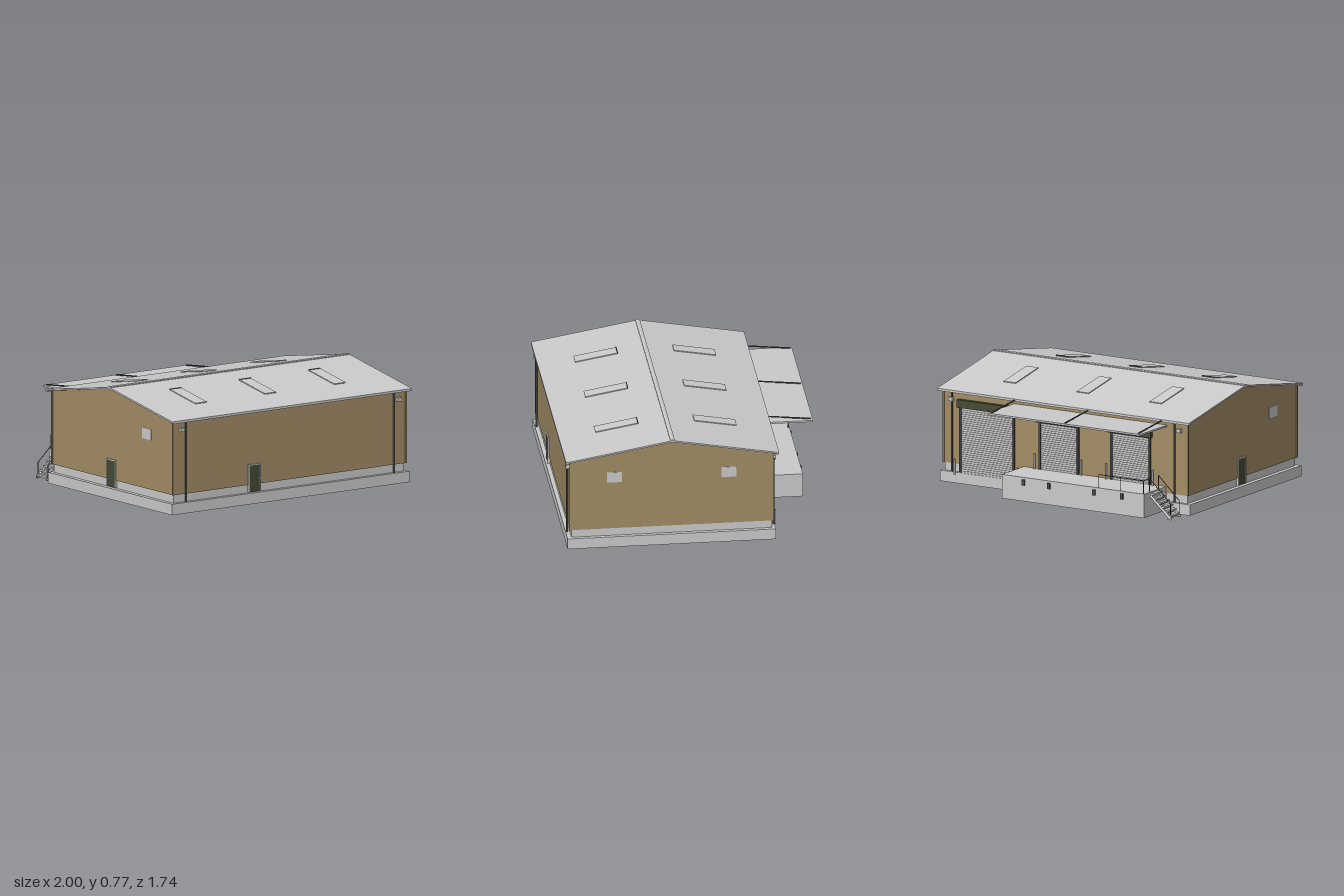
import * as THREE from 'three';

const mat = (color, extra = {}) => new THREE.MeshStandardMaterial({ color, ...extra });
const grey = mat(0xcccccc), tan = mat(0xa38d66), dark = mat(0x4a4a48), green = mat(0x454a34);

export function createModel() {
  const root = new THREE.Group();

  const add = (name, geo, material, parent = root) => {
    const mesh = new THREE.Mesh(geo, material);
    mesh.name = name;
    parent.add(mesh);
    return mesh;
  };
  // Box given by its limits on each axis
  const box = (name, x0, x1, y0, y1, z0, z1, material = grey, parent = root) => {
    const m = add(name, new THREE.BoxGeometry(x1 - x0, y1 - y0, z1 - z0), material, parent);
    m.position.set((x0 + x1) / 2, (y0 + y1) / 2, (z0 + z1) / 2);
    return m;
  };
  // Straight round bar between two points
  const bar = (name, a, b, r, material = dark, parent = root) => {
    const p = new THREE.Vector3(...a), q = new THREE.Vector3(...b);
    const m = add(name, new THREE.CylinderGeometry(r, r, p.distanceTo(q), 8), material, parent);
    m.position.copy(p).add(q).multiplyScalar(0.5);
    m.quaternion.setFromUnitVectors(new THREE.Vector3(0, 1, 0), q.sub(p).normalize());
    return m;
  };
  // Outline in (z, y), extruded along x between two limits
  const prism = (name, pts, x0, x1, material) => {
    const shape = new THREE.Shape(pts.map(p => new THREE.Vector2(...p)));
    const geo = new THREE.ExtrudeGeometry(shape, { depth: x1 - x0, bevelEnabled: false });
    geo.rotateY(-Math.PI / 2).translate(x1, 0, 0);
    return add(name, geo, material);
  };

  // Foundation, plinth and walls
  const ridgeZ = 0.15, back = -0.535;
  box('foundation', -0.995, 0.99, 0, 0.075, -0.55, 0.86);
  box('plinth', -0.963, 0.963, 0.075, 0.13, -0.528, 0.832);
  prism('walls', [[back, 0.13], [0.84, 0.13], [0.84, 0.632], [ridgeZ, 0.755], [back, 0.632]], -0.97, 0.97, tan);
  for (const x of [-0.97, 0.97]) for (const z of [back, 0.84])
    box('cornerTrim', x - 0.006, x + 0.006, 0.13, 0.635, z - 0.006, z + 0.006, tan);

  // Roof with ridge cap and gutters
  const run = 0.72, eaveY = 0.642, ridgeY = 0.767, t = 0.011;
  prism('roof', [
    [ridgeZ - run, eaveY - t], [ridgeZ, ridgeY - t], [ridgeZ + run, eaveY - t],
    [ridgeZ + run, eaveY], [ridgeZ, ridgeY], [ridgeZ - run, eaveY]], -1, 1, grey);
  prism('ridgeCap', [[0.135, 0.762], [0.165, 0.762], [0.165, 0.77], [ridgeZ, 0.774], [0.135, 0.77]], -1, 1, grey);
  box('frontGutter', -1, 1, 0.626, 0.642, 0.852, 0.872);
  box('backGutter', -1, 1, 0.626, 0.642, -0.572, -0.552);

  // Skylights lying on both slopes
  const pitch = Math.atan2(ridgeY - eaveY, run);
  for (const side of [-1, 1]) for (const x of [-0.583, -0.004, 0.576]) {
    const s = add('skylight', new THREE.BoxGeometry(0.095, 0.008, 0.29), grey);
    const d = 0.335;
    s.position.set(x, ridgeY - d * Math.tan(pitch) + 0.002, ridgeZ + side * d);
    s.rotation.x = side * pitch;
    if (side > 0) box('skylightUpperEdge', x - 0.048, x + 0.048, 0.725, 0.743, 0.337, 0.342, dark);
  }

  // Downpipes and wall lamps
  for (const x of [-0.87, 0.866]) {
    bar('frontDownpipe', [x, 0.075, 0.849], [x, 0.635, 0.849], 0.007);
  }
  for (const x of [-0.87, 0.9])
    bar('backDownpipe', [x, 0.075, back - 0.009], [x, 0.635, back - 0.009], 0.007);
  for (const x of [-0.908, 0.905]) {
    box('frontLamp', x - 0.016, x + 0.016, 0.562, 0.588, 0.84, 0.865);
    box('backLamp', x - 0.016, x + 0.016, 0.562, 0.588, back - 0.025, back);
  }

  // Gable windows
  for (const z of [0.54, -0.235])
    box('rightWindow', 0.965, 0.973, 0.468, 0.542, z - 0.05, z + 0.05);
  box('leftWindow', -0.973, -0.965, 0.468, 0.542, 0.49, 0.59);

  // Personnel doors, built facing +z then turned
  const personnelDoor = (name, x, z, turn) => {
    const g = new THREE.Group();
    g.name = name;
    box('leftJamb', 0.042, 0.05, 0, 0.19, -0.01, 0.008, grey, g);
    box('rightJamb', -0.05, -0.042, 0, 0.19, -0.01, 0.008, grey, g);
    box('doorHead', -0.05, 0.05, 0.182, 0.19, -0.01, 0.008, grey, g);
    box('doorLeaf', -0.042, 0.042, 0, 0.182, -0.01, 0.004, green, g);
    box('doorHandle', 0.028, 0.036, 0.085, 0.091, 0.004, 0.014, grey, g);
    g.position.set(x, 0.08, z);
    g.rotation.y = turn;
    root.add(g);
  };
  personnelDoor('frontDoor', -0.295, 0.841, 0);
  personnelDoor('leftDoor', -0.971, 0.14, -Math.PI / 2);

  // Roller doors: ribbed curtain, guide rails and drum housing
  const rollerDoor = (x0, x1, y0, y1) => {
    const g = new THREE.Group();
    g.name = 'rollerDoor';
    const pitchY = 0.0145, n = Math.floor((y1 - y0) / pitchY);
    box('doorBacking', x0, x1, y0, y1, back - 0.004, back + 0.01, dark, g);
    for (let i = 0; i < n; i++)
      box('slat', x0, x1, y0 + i * pitchY, y0 + (i + 0.8) * pitchY, back - 0.009, back, grey, g);
    for (const x of [x0, x1])
      box('guideRail', x - 0.008, x + 0.008, y0, y1, back - 0.015, back, dark, g);
    box('drumHousing', x0 - 0.02, x1 + 0.02, y1, y1 + 0.055, back - 0.028, back, green, g);
    root.add(g);
  };
  rollerDoor(0.41, 0.83, 0.075, 0.525);
  rollerDoor(-0.1, 0.2, 0.175, 0.5);
  rollerDoor(-0.67, -0.37, 0.175, 0.5);

  // Loading dock with bumpers
  box('loadingDock', -0.795, 0.335, 0.01, 0.175, -0.812, -0.53);
  for (const x of [0.16, -0.04, -0.4, -0.62])
    box('dockBumper', x - 0.011, x + 0.011, 0.12, 0.16, -0.822, -0.81, dark);

  // Bollards beside the roller doors
  for (const [x, y] of [[0.37, 0.06], [0.87, 0.06], [0.235, 0.175], [-0.135, 0.175], [-0.335, 0.175], [-0.705, 0.175]])
    bar('bollard', [x, y, -0.56], [x, y === 0.06 ? 0.165 : 0.28, -0.56], 0.007, grey);

  // Steps down from the end of the dock
  const steps = 6, tread = 0.165 / steps;
  for (let i = 0; i < steps; i++) {
    const y = 0.165 - i * 0.0265, x = -0.795 - i * tread;
    box('step', x - tread, x, y - 0.012, y, -0.73, -0.617);
    box('stepRiser', x - 0.004, x, y - 0.027, y, -0.73, -0.617);
  }
  for (const z of [-0.732, -0.615]) {
    prism('stairStringer', [[z - 0.003, 0], [z + 0.003, 0], [z + 0.003, 0.02], [z - 0.003, 0.02]], -0.96, -0.93, grey);
    bar('stringerBeam', [-0.795, 0.15, z], [-0.955, 0.008, z], 0.008, grey);
  }

  // Railings along the dock edge and steps
  const r = 0.0028, edge = -0.803;
  for (const x of [-0.43, -0.605, -0.785]) bar('railPost', [x, 0.175, edge], [x, 0.268, edge], r);
  bar('railPost', [-0.785, 0.175, -0.725], [-0.785, 0.265, -0.725], r);
  bar('railPost', [-0.785, 0.175, -0.612], [-0.785, 0.265, -0.612], r);
  bar('handrail', [-0.43, 0.265, edge], [-0.785, 0.265, edge], r);
  bar('handrail', [-0.785, 0.265, edge], [-0.785, 0.265, -0.725], r);
  for (const z of [-0.725, -0.612]) {
    bar('stairRail', [-0.785, 0.265, z], [-0.95, 0.11, z], r);
    bar('stairRailPost', [-0.95, 0.01, z], [-0.95, 0.11, z], r);
  }

  // Flat canopy hung from sloping ties
  box('canopy', -0.802, 0.41, 0.588, 0.6, -0.872, back);
  for (const x of [-0.78, -0.197, 0.385])
    bar('canopyTie', [x, 0.637, back], [x, 0.603, -0.86], 0.005);

  return root;
}
